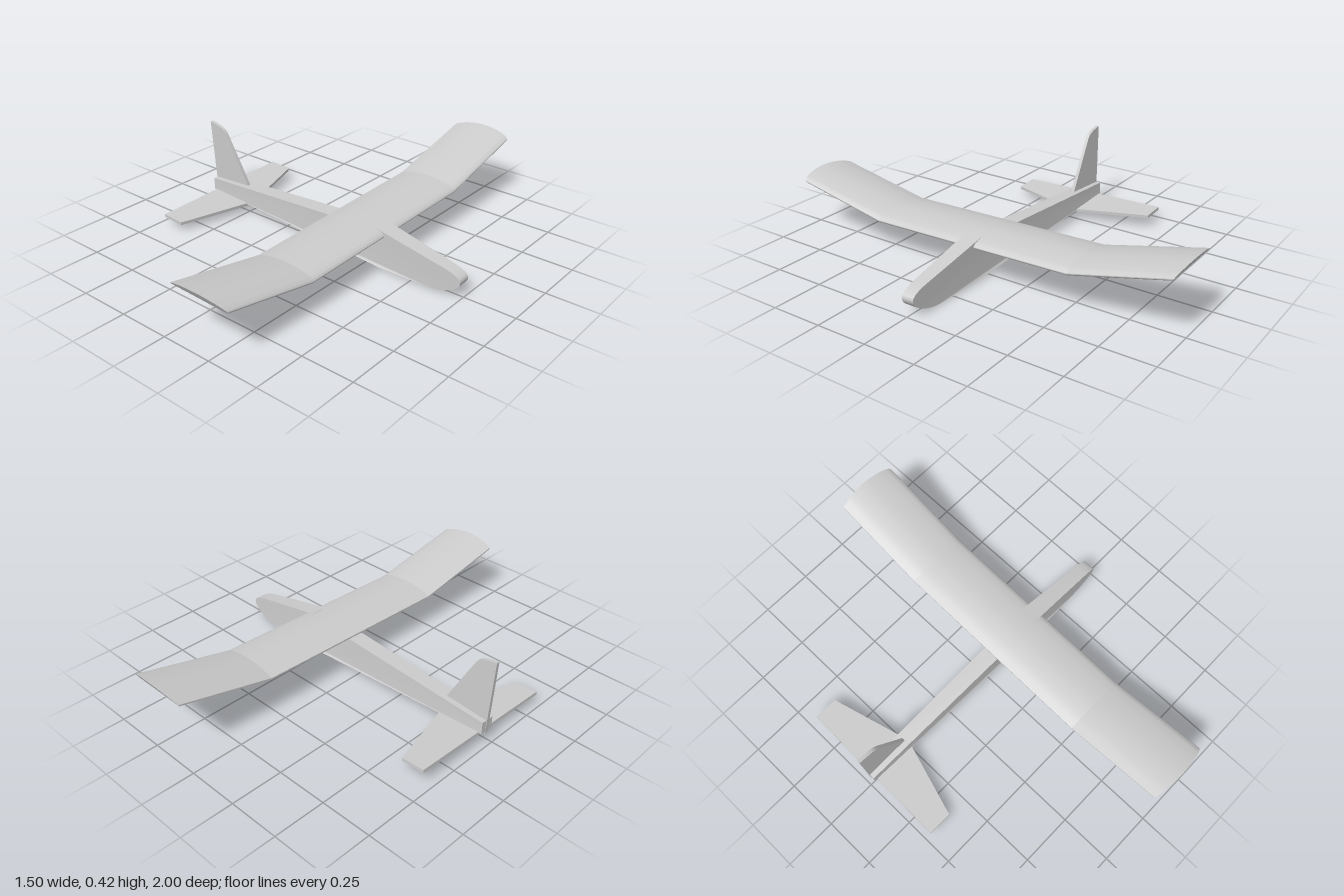
import * as THREE from 'three';
import { toCreasedNormals } from 'three/addons/utils/BufferGeometryUtils.js';

const material = new THREE.MeshStandardMaterial({ color: 0xcccccc });

function addPart(group, name, geometry, crease = 0.5) {
  const mesh = new THREE.Mesh(toCreasedNormals(geometry, crease), material);
  mesh.name = name;
  group.add(mesh);
  return mesh;
}

// Side profile extruded evenly about z = 0
function slab(shape, thickness) {
  return new THREE.ExtrudeGeometry(shape, { depth: thickness, bevelEnabled: false, curveSegments: 16 })
    .translate(0, 0, -thickness / 2);
}

// Wing section: flat underside, arched top, rounded leading edge (x, height above underside)
function airfoil() {
  const arch = new THREE.SplineCurve([
    [0.05, 0.008], [0.1, 0.026], [0.15, 0.037], [0.2, 0.043], [0.25, 0.043], [0.3, 0.038],
    [0.335, 0.03], [0.351, 0.021], [0.356, 0.013], [0.35, 0.004], [0.338, 0],
  ].map(([x, y]) => new THREE.Vector2(x, y)));
  return [new THREE.Vector2(0.05, 0), ...arch.getPoints(40)];
}

// Lofts the wing section between two stations; each station maps (x, y) to a point
function wingPanel(stationA, stationB) {
  const section = airfoil();
  const n = section.length;
  const positions = [];
  const index = [];
  for (const station of [stationA, stationB]) {
    for (const p of section) {
      const y = p.y + 0.175 - 0.055 * (p.x - 0.05);
      positions.push(...station(p.x, y));
    }
  }
  for (let i = 0; i < n; i++) {
    const j = (i + 1) % n;
    index.push(i, n + i, j, j, n + i, n + j);
  }
  for (let i = 1; i < n - 1; i++) {
    index.push(0, i, i + 1, n, n + i + 1, n + i);
  }
  const geometry = new THREE.BufferGeometry();
  geometry.setAttribute('position', new THREE.Float32BufferAttribute(positions, 3));
  geometry.setIndex(index);
  return geometry;
}

export function createModel() {
  const plane = new THREE.Group();
  plane.name = 'gliderPlane';

  // Fuselage: straight-edged boom, wing saddle and rounded nose
  const body = new THREE.Shape();
  body.moveTo(-0.73, 0.06);
  body.lineTo(0.34, 0.003);
  body.lineTo(0.58, 0.002);
  body.bezierCurveTo(0.66, 0.003, 0.745, 0.04, 0.745, 0.08);
  body.bezierCurveTo(0.745, 0.1, 0.71, 0.115, 0.66, 0.126);
  body.lineTo(0.3, 0.2);
  body.lineTo(0.3, 0.172);
  body.lineTo(0.04, 0.172);
  body.lineTo(-0.73, 0.12);
  const fuselage = slab(body, 2);
  const p = fuselage.attributes.position;
  for (let i = 0; i < p.count; i++) {
    // Width tapers towards both ends
    const x = p.getX(i);
    const half = x < 0.32
      ? THREE.MathUtils.mapLinear(x, -0.73, 0.32, 0.033, 0.043)
      : THREE.MathUtils.mapLinear(x, 0.32, 0.745, 0.043, 0.03);
    p.setZ(i, p.getZ(i) * half);
  }
  addPart(plane, 'fuselage', fuselage);

  // Wing: flat centre section and two raised outer panels with slanted tips
  const joint = (side) => (x, y) => [x, y, side * 0.51];
  const tip = (side) => (x, y) => [x, y + 0.102, side * (1 + 0.6 * (y - 0.208))];
  addPart(plane, 'wingCentre', wingPanel(joint(-1), joint(1)));
  addPart(plane, 'wingLeftPanel', wingPanel(joint(1), tip(1)));
  addPart(plane, 'wingRightPanel', wingPanel(tip(-1), joint(-1)));

  // Tail fin with a rounded top front corner
  const fin = new THREE.Shape();
  fin.moveTo(-0.73, 0.05);
  fin.lineTo(-0.5, 0.05);
  fin.lineTo(-0.513, 0.134);
  fin.lineTo(-0.645, 0.37);
  fin.bezierCurveTo(-0.66, 0.4, -0.69, 0.408, -0.75, 0.418);
  addPart(plane, 'tailFin', slab(fin, 0.016));

  // Tailplane: flat swept board under the boom
  const board = new THREE.Shape([
    [-0.715, -0.38], [-0.6, -0.38], [-0.5, -0.035], [-0.5, 0.035], [-0.6, 0.38], [-0.715, 0.38],
  ].map(([x, z]) => new THREE.Vector2(x, z)));
  const tailplane = addPart(plane, 'tailplane', slab(board, 0.015).rotateX(Math.PI / 2));
  tailplane.position.set(-0.6, 0.05, 0);
  tailplane.rotation.z = -0.055;
  tailplane.geometry.translate(0.6, 0, 0);

  // The plane rests slightly rolled and turned
  plane.rotation.set(0.028, -0.01, 0);
  plane.position.z = -0.013;

  const model = new THREE.Group();
  model.add(plane);
  return model;
}
